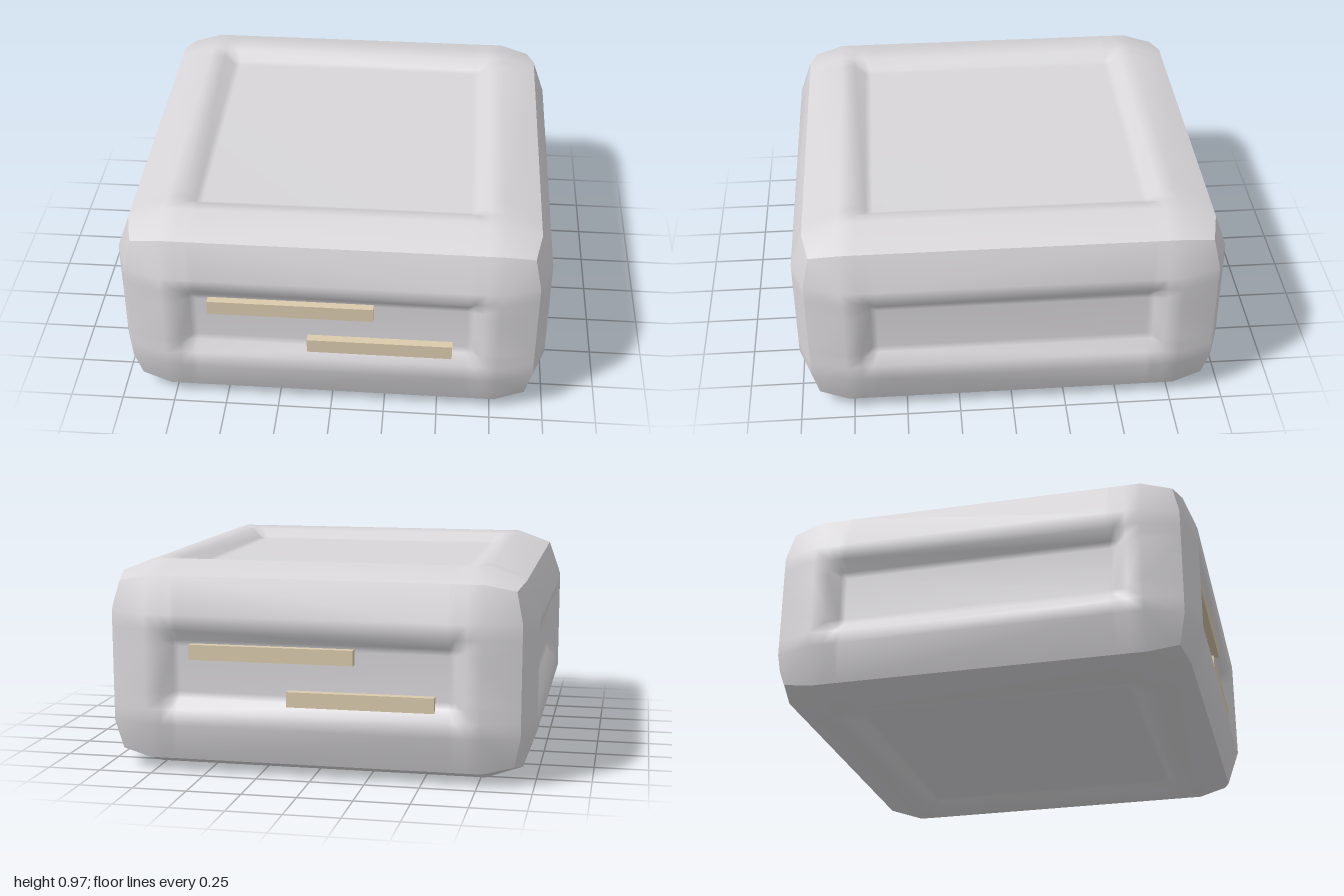
import * as THREE from 'three';

const HALF = [1, 0.485, 1];                      // half width, height, depth
const INSET = [0.06, 0.23, 0.30, 0.35, 0.38];    // ring distance in from the side: rim, ridge, lip, slope, floor
const DROP = [0.06, 0, 0.012, 0.052, 0.06];      // how far each ring sits below the ridge
const CORNER = 0.09;                             // corner points are pulled in by this much
const N = INSET.length * 2;

// One recessed panel, smooth inside, facing +/- the given axis
function panelGeometry(axis, sign) {
  const uAxis = (axis + 1) % 3, vAxis = (axis + 2) % 3;
  const level = i => Math.min(i, N - 1 - i);
  const along = (i, half, corner) => (i < N / 2 ? -1 : 1) * (half - (corner ? CORNER : INSET[level(i)]));
  const positions = [], index = [];
  for (let j = 0; j < N; j++) {
    for (let i = 0; i < N; i++) {
      const corner = level(i) === 0 && level(j) === 0;
      const p = [0, 0, 0];
      p[axis] = sign * (HALF[axis] - (corner ? CORNER : DROP[Math.min(level(i), level(j))]));
      p[uAxis] = sign * along(i, HALF[uAxis], corner);
      p[vAxis] = along(j, HALF[vAxis], corner);
      positions.push(...p);
    }
  }
  for (let j = 0; j < N - 1; j++) {
    for (let i = 0; i < N - 1; i++) {
      const a = j * N + i, b = a + 1, c = b + N, d = a + N;
      // diagonals run outward so that the corners are mitred
      const rising = (i < N / 2) === (j < N / 2);
      if (rising) index.push(a, b, c, a, c, d);
      else index.push(a, b, d, b, c, d);
    }
  }
  const geometry = new THREE.BufferGeometry();
  geometry.setAttribute('position', new THREE.Float32BufferAttribute(positions, 3));
  geometry.setIndex(index);
  geometry.computeVertexNormals();
  return geometry;
}

export function createModel() {
  const model = new THREE.Group();
  model.name = 'recessedBlock';
  const shellGrey = new THREE.MeshStandardMaterial({ color: 0xd8d6d9 });
  shellGrey.name = 'shell grey';
  const barTan = new THREE.MeshStandardMaterial({ color: 0xdacaad });
  barTan.name = 'bar tan';

  // Six panels meeting at a sharp rim
  const names = [['leftPanel', 'rightPanel'], ['topPanel', 'bottomPanel'], ['frontPanel', 'backPanel']];
  names.forEach((pair, axis) => pair.forEach((name, k) => {
    const panel = new THREE.Mesh(panelGeometry(axis, k ? -1 : 1), shellGrey);
    panel.name = name;
    panel.position.y = HALF[1];
    model.add(panel);
  }));

  // Staggered bars, repeated on the back by a half turn
  const bars = [['upperBar', -0.565, 0.195, 0.535, 0.605], ['lowerBar', -0.11, 0.56, 0.335, 0.405]];
  for (const side of ['front', 'back']) {
    const group = new THREE.Group();
    group.name = side + 'Bars';
    for (const [name, x0, x1, y0, y1] of bars) {
      const bar = new THREE.Mesh(new THREE.BoxGeometry(x1 - x0, y1 - y0, 0.08), barTan);
      bar.name = name;
      bar.position.set((x0 + x1) / 2, (y0 + y1) / 2, 0.94);
      group.add(bar);
    }
    if (side === 'back') group.rotation.y = Math.PI;
    model.add(group);
  }
  return model;
}
